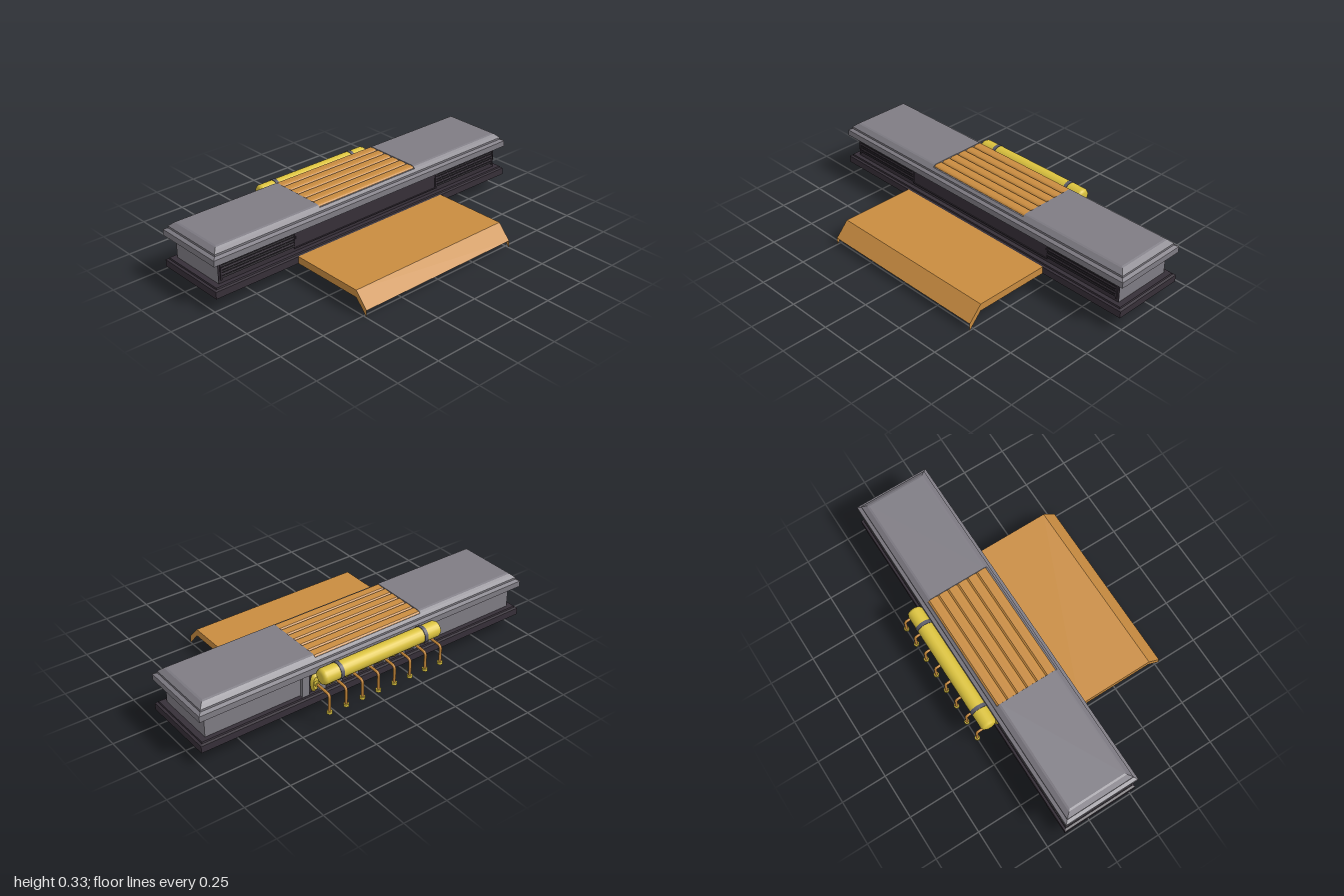
import * as THREE from 'three';

const mat = (name, color, side = THREE.FrontSide) => {
  const m = new THREE.MeshStandardMaterial({ color, side });
  m.name = name;
  return m;
};

// Stacked rectangles around the building's centre line; each ring is [inset, y].
// With innerX the left face stays upright at that x.
function rectLoft(rings, { innerX, capTop = true, capBottom = true } = {}) {
  const pos = [];
  const corners = ([inset, y]) => {
    const x1 = 1 - inset, x0 = innerX ?? -x1, d = 0.21 - inset;
    return [[x0, y, -0.19 + d], [x1, y, -0.19 + d], [x1, y, -0.19 - d], [x0, y, -0.19 - d]];
  };
  const quad = (a, b, c, d) => pos.push(...a, ...b, ...c, ...a, ...c, ...d);
  const r = rings.map(corners);
  for (let k = 0; k + 1 < r.length; k++)
    for (let i = 0; i < 4; i++) {
      const j = (i + 1) % 4;
      quad(r[k][i], r[k][j], r[k + 1][j], r[k + 1][i]);
    }
  if (capTop) quad(...r[r.length - 1]);
  if (capBottom) quad(r[0][3], r[0][2], r[0][1], r[0][0]);
  const g = new THREE.BufferGeometry();
  g.setAttribute('position', new THREE.Float32BufferAttribute(pos, 3));
  g.computeVertexNormals();
  return g;
}

export function createModel() {
  const model = new THREE.Group();
  const grey = mat('grey metal', 0x7f7c84);
  const dark = mat('dark metal', 0x362f38);
  const black = mat('shadow black', 0x231f25);
  const orange = mat('orange panel', 0xc98c40, THREE.DoubleSide);
  const copper = mat('copper', 0xc48638);
  const yellow = mat('yellow metal', 0xdcc33e);
  const strap = mat('strap grey', 0x5c5c69);

  const add = (name, geo, material, x = 0, y = 0, z = 0, parent = model) => {
    const m = new THREE.Mesh(geo, material);
    m.name = name;
    m.position.set(x, y, z);
    parent.add(m);
    return m;
  };
  // Box given by its minimum and maximum corners
  const box = (name, material, [x0, x1], [y0, y1], [z0, z1], parent = model) =>
    add(name, new THREE.BoxGeometry(x1 - x0, y1 - y0, z1 - z0), material,
      (x0 + x1) / 2, (y0 + y1) / 2, (z0 + z1) / 2, parent);

  // Base with a recessed underside, and body
  add('base', rectLoft([[0.03, 0.112], [0.03, 0.08], [0, 0.08], [0, 0.118], [0.012, 0.122], [0.014, 0.13]]), dark);
  box('body', grey, [-0.955, 0.955], [0.125, 0.258], [-0.362, -0.021]);
  box('soffit', black, [-0.988, 0.988], [0.25, 0.256], [-0.388, 0.008]);
  for (const s of [-1, 1])
    box('undersideEndPlate', grey, [s * 0.963 - 0.003, s * 0.963 + 0.003], [0.086, 0.113], [-0.362, -0.021]);

  // Roof with a stepped edge; two raised side panels leave a shallow middle bay
  add('roofEdge', rectLoft(
    [[0, 0.255], [0, 0.288], [0.018, 0.297], [0.018, 0.308], [0.032, 0.3205]]), grey);
  for (const side of ['left', 'right']) {
    const panel = add(side + 'RoofPanel', rectLoft(
      [[0.032, 0.3205], [0.042, 0.3295], [0.052, 0.333]],
      { innerX: 0.329, capBottom: false }), grey);
    if (side === 'right') {
      panel.rotation.y = Math.PI;
      panel.position.z = -0.38;
    }
  }

  // Six rounded roof slats separated by grooves, set just below the roof top
  const slats = new THREE.Shape();
  const z0 = 0.02, z1 = 0.366, n = 6, step = (z1 - z0) / n;
  slats.moveTo(z0, 0.316);
  for (let i = 0; i < n; i++) {
    const a = z0 + i * step;
    slats.lineTo(a, 0.3215);
    slats.lineTo(a + 0.006, 0.328);
    slats.lineTo(a + 0.016, 0.331);
    slats.lineTo(a + step - 0.008, 0.329);
    slats.lineTo(a + step, 0.3215);
  }
  slats.lineTo(z1, 0.316);
  const slatGeo = new THREE.ExtrudeGeometry(slats, { depth: 0.656, bevelEnabled: false });
  slatGeo.rotateY(Math.PI / 2);
  add('roofSlats', slatGeo, orange, -0.328, 0, 0);

  // Dark front: backing, framed middle panel and side louvres
  box('frontBacking', dark, [-0.955, 0.955], [0.13, 0.252], [-0.022, -0.018]);
  box('middlePanel', dark, [-0.485, 0.485], [0.155, 0.24], [-0.018, -0.014]);
  for (const y of [0.151, 0.243])
    box('middleFrameRail', dark, [-0.49, 0.49], [y - 0.003, y + 0.003], [-0.018, -0.011]);
  for (const s of [-1, 1]) {
    for (const x of [0.492, 0.941])
      box('frontPost', dark, [s * x - 0.004, s * x + 0.004], [0.148, 0.246], [-0.018, -0.011]);
    for (let i = 0; i < 6; i++) {
      const louvre = box('louvre', i % 2 ? dark : black, [s * 0.717 - 0.22, s * 0.717 + 0.22],
        [0.157 + i * 0.015, 0.167 + i * 0.015], [-0.018, -0.013]);
      louvre.rotation.x = -0.3;
    }
  }

  // Front platform: thin folded sheet with shallow side flaps
  const ramp = new THREE.BufferGeometry();
  const edge = [[0.12, 0.02], [0.12, 0.45], [0.04, 0.523]];
  const p = [];
  const quad = (a, b, c, d) => p.push(...a, ...b, ...c, ...a, ...c, ...d);
  for (let i = 0; i < 2; i++) {
    const [ya, za] = edge[i], [yb, zb] = edge[i + 1];
    quad([-0.5, ya, za], [-0.5, yb, zb], [0.5, yb, zb], [0.5, ya, za]);
    quad([0.5, ya, za], [0.5, yb, zb], [0.5, yb - 0.04, zb], [0.5, ya - 0.04, za]);
    quad([-0.5, ya, za], [-0.5, ya - 0.04, za], [-0.5, yb - 0.04, zb], [-0.5, yb, zb]);
  }
  ramp.setAttribute('position', new THREE.Float32BufferAttribute(p, 3));
  ramp.computeVertexNormals();
  add('frontRamp', ramp, orange);

  // Tank on the back with two straps
  const tankProfile = [[0, -0.369], [0.025, -0.368], [0.037, -0.362], [0.043, -0.35],
    [0.043, 0.35], [0.037, 0.362], [0.025, 0.368], [0, 0.369]].map(([r, y]) => new THREE.Vector2(r, y));
  const tank = add('tank', new THREE.LatheGeometry(tankProfile, 20), yellow, -0.013, 0.255, -0.442);
  tank.rotation.z = Math.PI / 2;
  for (const x of [-0.276, 0.249]) {
    const band = add('tankStrap', new THREE.CylinderGeometry(0.046, 0.046, 0.02, 20), strap, x, 0.255, -0.442);
    band.rotation.z = Math.PI / 2;
    box('strapBracket', strap, [x - 0.01, x + 0.01], [0.24, 0.27], [-0.41, -0.36]);
  }

  // Eight outlets: backing plate, collar, bent pipe and nozzle
  const path = new THREE.CurvePath();
  const v = (y, z) => new THREE.Vector3(0, y, z);
  path.add(new THREE.LineCurve3(v(0.194, -0.4), v(0.189, -0.487)));
  path.add(new THREE.QuadraticBezierCurve3(v(0.189, -0.487), v(0.188, -0.505), v(0.17, -0.506)));
  path.add(new THREE.LineCurve3(v(0.17, -0.506), v(0.09, -0.507)));
  const pipeGeo = new THREE.TubeGeometry(path, 24, 0.0075, 10);
  const plate = new THREE.CylinderGeometry(0.036, 0.056, 0.016, 16);
  const collar = new THREE.CylinderGeometry(0.014, 0.014, 0.016, 12);
  for (const g of [plate, collar]) g.rotateX(-Math.PI / 2);
  plate.scale(0.45, 1, 1);
  const nozzleGeo = new THREE.CylinderGeometry(0.014, 0.014, 0.015, 12);
  for (let i = 0; i < 8; i++) {
    const outlet = new THREE.Group();
    outlet.name = 'outlet';
    outlet.position.x = -0.354 + i * 0.1;
    model.add(outlet);
    add('outletPlate', plate, yellow, 0, 0.194, -0.391, outlet);
    add('collar', collar, yellow, 0, 0.194, -0.405, outlet);
    add('pipe', pipeGeo, copper, 0, 0, 0, outlet);
    add('nozzle', nozzleGeo, yellow, 0, 0.0885, -0.507, outlet);
  }

  // Upright ribs between the outlets, on a thin backing
  box('rearBacking', dark, [-0.415, 0.405], [0.13, 0.255], [-0.368, -0.361]);
  for (let i = 0; i < 9; i++) {
    const x = -0.404 + i * 0.1;
    box('rearRib', grey, [x - 0.02, x + 0.02], [0.13, 0.255], [-0.384, -0.367]);
  }

  return model;
}
